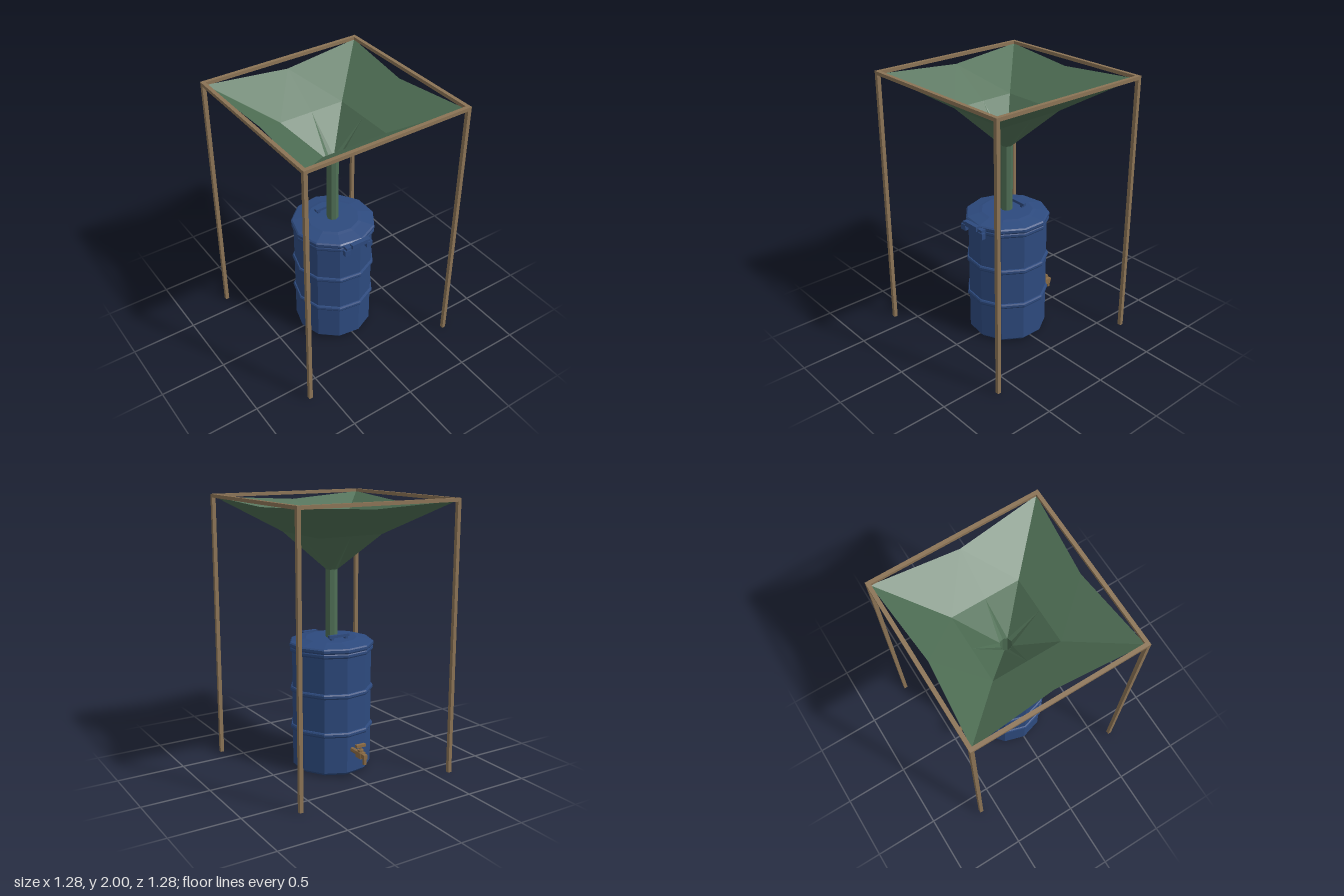
import * as THREE from 'three';

const mat = (name, color, extra = {}) =>
  Object.assign(new THREE.MeshStandardMaterial({ color, flatShading: true, ...extra }), { name });

export function createModel() {
  const root = new THREE.Group();
  root.name = 'rainCollector';
  const wood = mat('wood', 0x8b7355);
  const brass = mat('brass', 0x8a6b45);
  const blue = mat('bluePlastic', 0x2d4a7e);
  const green = mat('greenCanvas', 0x4f6f55, { side: THREE.DoubleSide });

  const add = (parent, name, geo, material, x = 0, y = 0, z = 0) => {
    const m = new THREE.Mesh(geo, material);
    m.name = name;
    m.position.set(x, y, z);
    parent.add(m);
    return m;
  };
  const box = (parent, name, material, w, h, d, x, y, z) =>
    add(parent, name, new THREE.BoxGeometry(w, h, d), material, x, y, z);
  const group = (name) => {
    const g = new THREE.Group();
    g.name = name;
    root.add(g);
    return g;
  };

  // Square frame on four posts
  const frame = group('frame');
  const R = 0.628, T = 0.028;
  for (const s of [-1, 1]) {
    for (const t of [-1, 1]) box(frame, 'post', wood, T, 1.975, T, s * R, 0.9875, t * R);
    box(frame, 'sideBeam', wood, T, 0.025, 2 * R + T, s * R, 1.9875, 0);
    box(frame, 'crossBeam', wood, 2 * R - T, 0.025, T, 0, 1.9875, s * R);
  }

  // Canvas funnel: rings of eight points alternating corner and edge middle
  // Each level: corner offset, corner height, middle offset, middle height
  const levels = [
    [0.618, 1.98, 0.56, 1.945],
    [0.257, 1.74, 0.257, 1.74],
    [0.031, 1.48, 0.043, 1.48],
  ];
  const dirs = [[1, 1], [1, 0], [1, -1], [0, -1], [-1, -1], [-1, 0], [-1, 1], [0, 1]];
  const pos = [], idx = [];
  for (const [c, cy, m, my] of levels)
    dirs.forEach(([x, z], i) => (i % 2 ? pos.push(x * m, my, z * m) : pos.push(x * c, cy, z * c)));
  for (let l = 0; l < 2; l++)
    for (let i = 0; i < 8; i++) {
      const a = l * 8 + i, b = l * 8 + ((i + 1) % 8), c = a + 8, d = b + 8;
      // Mirror the diagonal so that each panel is symmetrical
      if (i % 2) idx.push(a, c, d, a, d, b);
      else idx.push(a, c, b, b, c, d);
    }
  const funnel = new THREE.BufferGeometry();
  funnel.setAttribute('position', new THREE.Float32BufferAttribute(pos, 3));
  funnel.setIndex(idx);
  funnel.computeVertexNormals();
  add(root, 'canvasFunnel', funnel, green);
  add(root, 'downPipe', new THREE.CylinderGeometry(0.044, 0.044, 0.51, 8, 1, true), green, 0, 1.23, 0);

  // Eleven-sided barrel with hoops and lid
  const barrel = group('barrel');
  const lathe = (name, pts, y = 0) =>
    add(barrel, name, new THREE.LatheGeometry(pts.map((p) => new THREE.Vector2(...p)), 11, -Math.PI / 2),
      blue, 0.004, y, 0);
  lathe('barrelBody', [[0, 0.004], [0.278, 0.004], [0.294, 0.022], [0.294, 0.93]]);
  const hoop = [[0.29, -0.02], [0.303, -0.018], [0.309, -0.008], [0.309, 0.008], [0.303, 0.018], [0.29, 0.02]];
  for (const y of [0.315, 0.605, 0.905]) lathe('hoop', hoop, y);
  lathe('lid', [[0.29, 0.918], [0.306, 0.92], [0.312, 0.93], [0.312, 0.948], [0.302, 0.957],
    [0.215, 0.974], [0.19, 0.98], [0, 0.98]]);

  // Lid handle
  box(barrel, 'lidHandle', blue, 0.17, 0.02, 0.025, 0, 1.005, -0.1);
  for (const s of [-1, 1]) box(barrel, 'lidHandleFoot', blue, 0.022, 0.04, 0.025, s * 0.06, 0.985, -0.1);

  // Front latch
  box(barrel, 'latchBar', blue, 0.125, 0.035, 0.035, 0, 0.943, 0.325);
  for (const s of [-1, 1]) {
    box(barrel, 'latchArm', blue, 0.05, 0.025, 0.04, s * 0.08, 0.933, 0.31);
    box(barrel, 'latchTab', blue, 0.048, 0.046, 0.03, s * 0.095, 0.902, 0.32);
  }

  // Tap at the back
  const tap = group('tap');
  const rod = (name, r, len, y, z, sides = 8) =>
    add(tap, name, new THREE.CylinderGeometry(r, r, len, sides), brass, 0, y, z);
  rod('tapPipe', 0.018, 0.1, 0.193, -0.325).rotation.x = Math.PI / 2;
  box(tap, 'tapBody', brass, 0.045, 0.045, 0.06, 0, 0.19, -0.395);
  box(tap, 'spoutArm', brass, 0.03, 0.032, 0.045, 0, 0.191, -0.44);
  rod('spout', 0.015, 0.065, 0.166, -0.446);
  rod('valveCollar', 0.022, 0.018, 0.22, -0.393);
  rod('valveStem', 0.008, 0.04, 0.245, -0.393, 6);
  box(tap, 'valveHandle', brass, 0.075, 0.02, 0.025, 0, 0.258, -0.393);
  return root;
}
